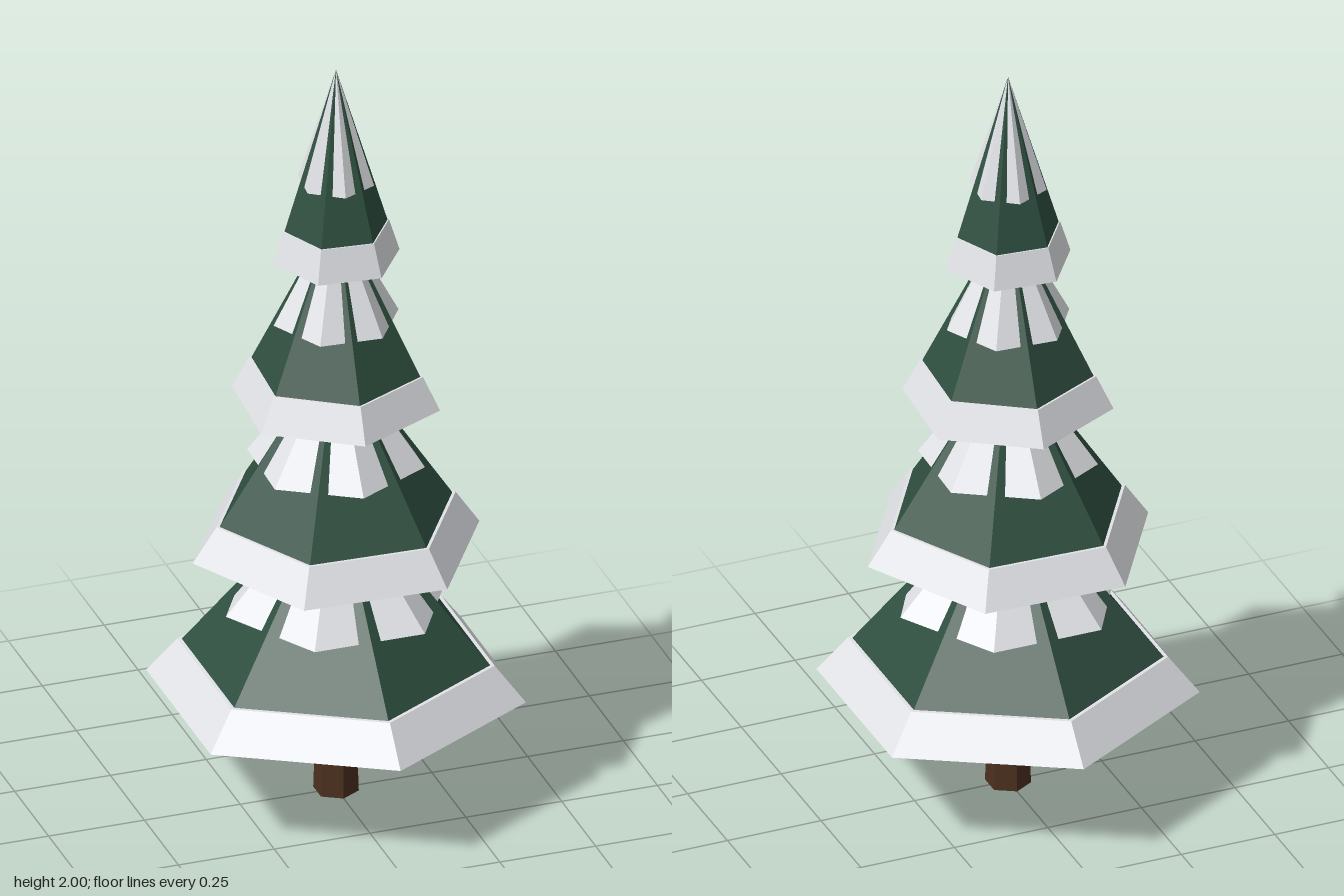
import * as THREE from 'three';

const SIDES = 6;
const TWIST = 0.492; // turn of each tier relative to the one below

const flat = (name, color) => {
  const m = new THREE.MeshStandardMaterial({ color, flatShading: true });
  m.name = name;
  return m;
};

function createModel() {
  const green = flat('needle green', 0x2f4f40);
  const snow = flat('snow white', 0xe6e8ec);
  const bark = flat('bark brown', 0x4c301f);

  const tree = new THREE.Group();
  tree.name = 'snowyTree';
  const add = (parent, name, geometry, material, y) => {
    const mesh = new THREE.Mesh(geometry, material);
    mesh.name = name;
    mesh.position.y = y;
    parent.add(mesh);
    return mesh;
  };

  // Tapered trunk
  add(tree, 'trunk', new THREE.CylinderGeometry(0.047, 0.057, 0.3, SIDES), bark, 0.15);

  // Tiers from bottom to top: base height, outer radius, cone height
  const tiers = [
    [0.285, 0.475, 0.572],
    [0.685, 0.37, 0.55],
    [1.085, 0.264, 0.53],
    [1.48, 0.161, 0.52],
  ];
  tiers.forEach(([y, r, h], i) => {
    const tier = new THREE.Group();
    tier.name = `tier${i + 1}`;
    tier.position.y = y;
    tier.rotation.y = i * TWIST;
    tree.add(tier);

    // Green branches
    const inner = r * 0.972;
    add(tier, 'branches', new THREE.ConeGeometry(inner, h, SIDES), green, h / 2);

    // Snow band around the rim, with a thin lip above and below
    const t = 0.165;
    const profile = [
      [inner * 0.998, 0], [r, 0], [r * (1 - t), t * h], [inner * (1 - t) * 0.99, t * h],
    ].map(([x, v]) => new THREE.Vector2(x, v));
    add(tier, 'snowRim', new THREE.LatheGeometry(profile, SIDES), snow, 0);

    // Snow cap turned half a side, so its corners break through the branch faces
    const capY = h * (i === 3 ? 0.405 : 0.425);
    const cap = add(tier, 'snowCap', new THREE.ConeGeometry(r * 0.605, h - capY, SIDES), snow, (h + capY) / 2);
    cap.rotation.y = Math.PI / SIDES;
  });

  return tree;
}

export { createModel };
